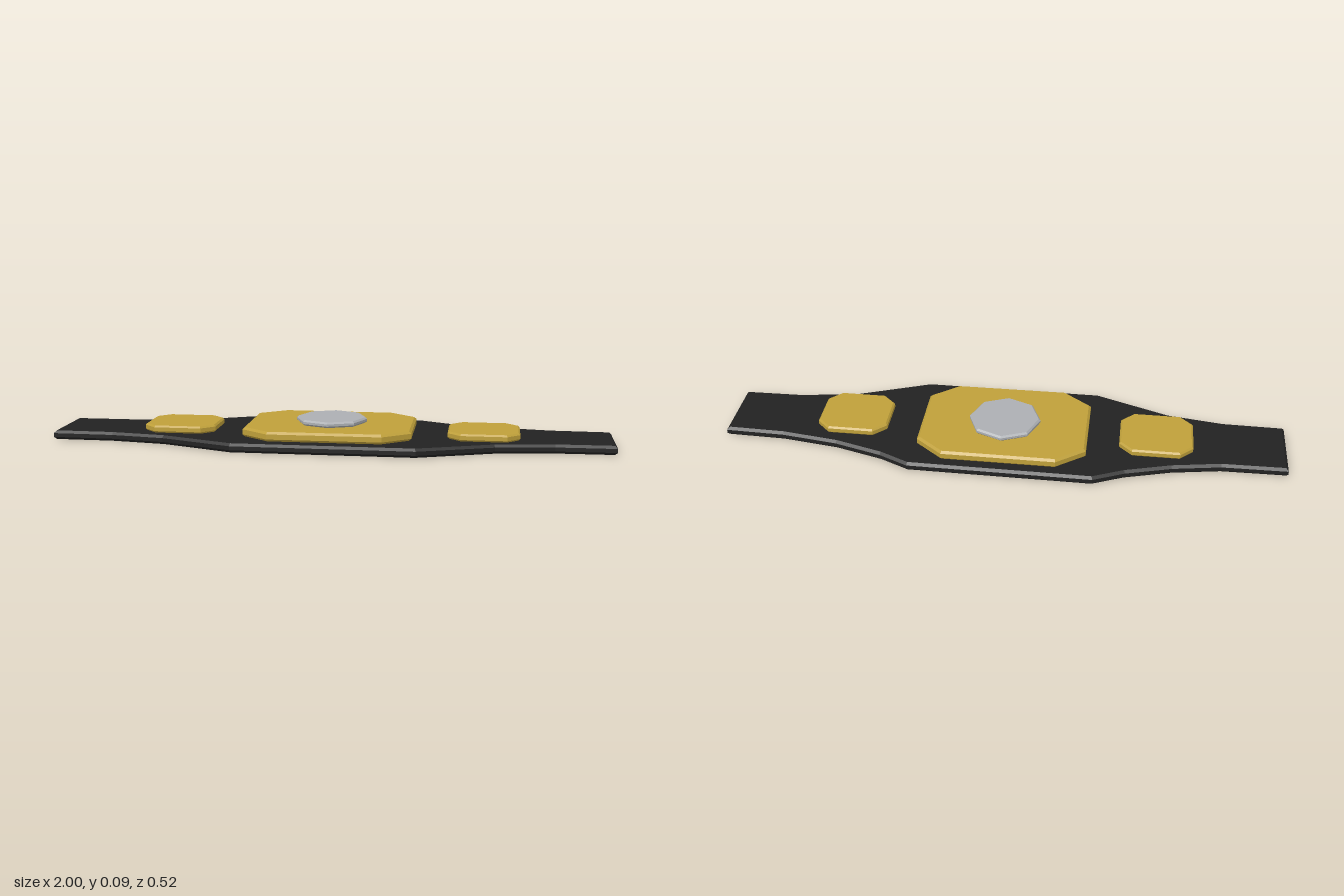
import * as THREE from 'three';

const material = (name, color) => {
  const m = new THREE.MeshStandardMaterial({ color });
  m.name = name;
  return m;
};

// Bevelled slab lying flat, from an outline of [x, z] points
function slab(name, outline, y0, y1, bevel, mat) {
  const shape = new THREE.Shape(outline.map(([x, z]) => new THREE.Vector2(x, -z)));
  const geometry = new THREE.ExtrudeGeometry(shape, {
    depth: y1 - y0 - 2 * bevel,
    bevelEnabled: true,
    bevelThickness: bevel,
    bevelSize: bevel,
    bevelOffset: -bevel,
    bevelSegments: 1,
  });
  geometry.rotateX(-Math.PI / 2);
  geometry.translate(0, y0 + bevel, 0);
  const mesh = new THREE.Mesh(geometry, mat);
  mesh.name = name;
  return mesh;
}

export function createModel() {
  const group = new THREE.Group();
  group.name = 'championBelt';
  const leather = material('black leather', 0x222222);
  const gold = material('gold', 0xbfa03a);
  const silver = material('silver', 0xacafb3);

  // Strap, widest in the middle and tapering to both ends
  const strap = [
    [-1, 0.125], [-0.78, 0.128], [-0.585, 0.158], [-0.32, 0.26],
    [0.32, 0.26], [0.585, 0.157], [0.79, 0.126], [1, 0.122],
    [1, -0.127], [0.79, -0.132], [0.59, -0.161], [0.42, -0.21], [0.315, -0.259],
    [-0.33, -0.262], [-0.44, -0.212], [-0.6, -0.165], [-0.77, -0.135], [-1, -0.132],
  ];
  group.add(slab('strap', strap, 0, 0.032, 0.009, leather));

  // Large centre plate
  const plate = [
    [-0.2, 0.211], [0.2, 0.208], [0.297, 0.13], [0.297, -0.145],
    [0.2, -0.224], [-0.2, -0.224], [-0.3, -0.148], [-0.3, 0.133],
  ];
  group.add(slab('centrePlate', plate, 0.032, 0.066, 0.008, gold));

  // Smaller plates on each side
  const sidePlates = [
    ['rightSidePlate', -0.672, -0.413, -0.121, 0.112],
    ['leftSidePlate', 0.42, 0.672, -0.113, 0.118],
  ];
  for (const [name, x0, x1, z0, z1] of sidePlates) {
    const c = 0.045;
    const outline = [
      [x0 + c, z1], [x1 - c, z1], [x1, z1 - c], [x1, z0 + c],
      [x1 - c, z0], [x0 + c, z0], [x0, z0 + c], [x0, z1 - c],
    ];
    group.add(slab(name, outline, 0.032, 0.058, 0.006, gold));
  }

  // Eight-sided medallion
  const medallion = [];
  for (let i = 0; i < 8; i++) {
    const a = (i * Math.PI) / 4;
    medallion.push([0.128 * Math.sin(a), -0.01 + 0.128 * Math.cos(a)]);
  }
  group.add(slab('medallion', medallion, 0.066, 0.086, 0.006, silver));

  return group;
}
